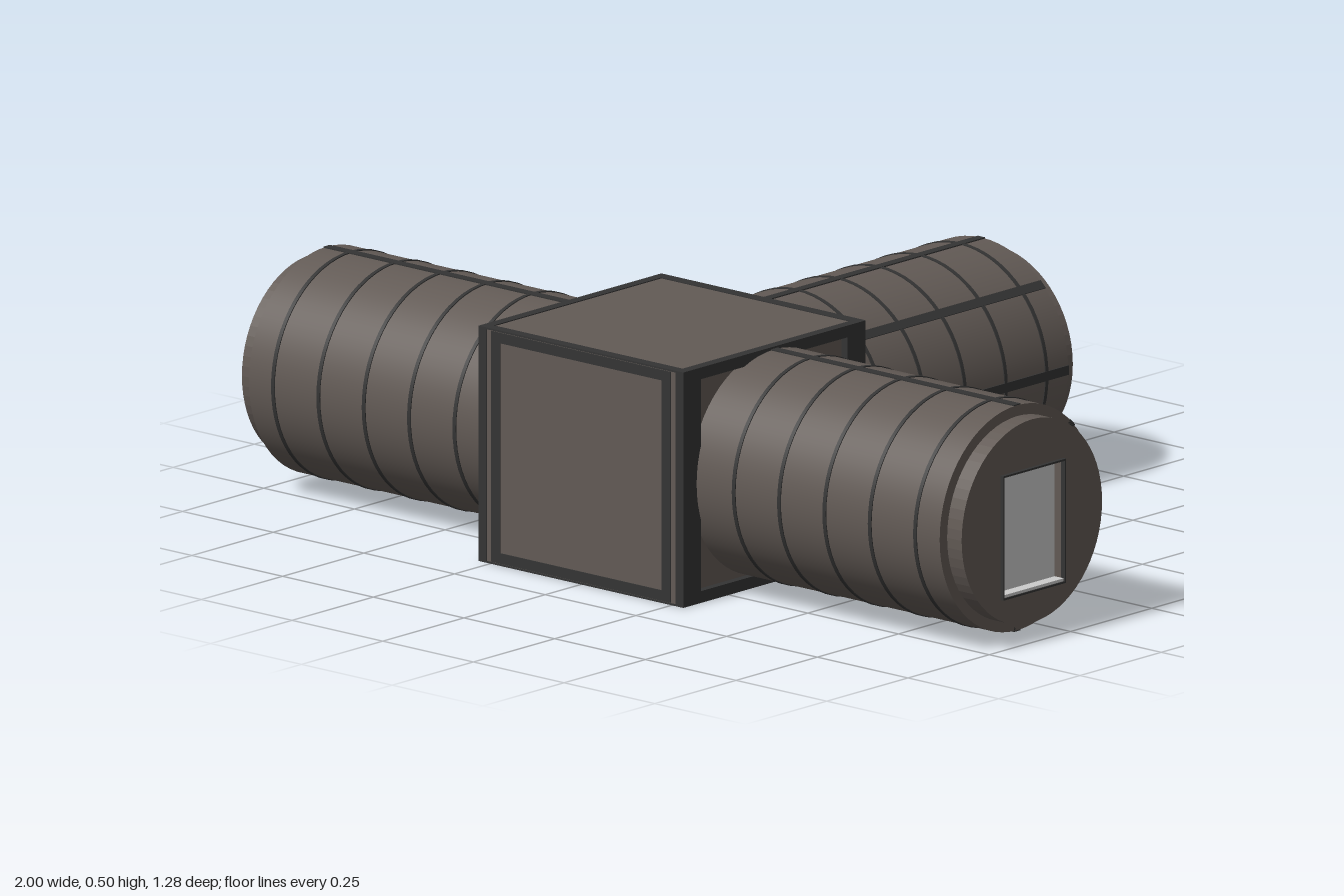
import * as THREE from 'three';

const hull = new THREE.MeshStandardMaterial({ color: 0x625a55 });
const dark = new THREE.MeshStandardMaterial({ color: 0x343434 });
const grey = new THREE.MeshStandardMaterial({ color: 0xcccccc });

function add(parent, name, geometry, material, x = 0, y = 0, z = 0) {
  const mesh = new THREE.Mesh(geometry, material);
  mesh.name = name;
  mesh.position.set(x, y, z);
  parent.add(mesh);
  return mesh;
}

function rectangle(w, h, Kind = THREE.Shape) {
  const r = new Kind();
  r.moveTo(-w / 2, -h / 2);
  r.lineTo(w / 2, -h / 2);
  r.lineTo(w / 2, h / 2);
  r.lineTo(-w / 2, h / 2);
  r.closePath();
  return r;
}

// Flat plate facing +z, with a rectangular opening
function openPlate(outline, holeW, holeH, depth) {
  outline.holes.push(rectangle(holeW, holeH, THREE.Path));
  return new THREE.ExtrudeGeometry(outline, { depth, bevelEnabled: false, curveSegments: 32 });
}

// Cylindrical module running outwards along local +z
function createArm(name, ribSide) {
  const arm = new THREE.Group();
  arm.name = name;
  const R = 0.239, START = 0.26, END = 0.952;

  const tube = new THREE.CylinderGeometry(R, R, END - START, 64).rotateX(Math.PI / 2);
  add(arm, 'tube', tube, hull, 0, 0, (START + END) / 2);

  // Seam bands around the tube
  const band = new THREE.CylinderGeometry(R + 0.002, R + 0.002, 0.009, 64).rotateX(Math.PI / 2);
  for (let i = 0; i < 5; i++) add(arm, 'seamBand', band, dark, 0, 0, 0.385 + i * 0.125);

  // Lengthwise ribs on one half of the tube
  const rib = new THREE.BoxGeometry(0.02, 0.01, END - START);
  for (let i = 0; i < 5; i++) {
    const a = i * Math.PI / 4;
    const r = R - 0.003;
    const mesh = add(arm, 'rib', rib, dark, ribSide * r * Math.sin(a), r * Math.cos(a), (START + END) / 2);
    mesh.rotation.z = -ribSide * a;
  }

  // Stepped end cap with a recessed hatch
  const disc = new THREE.Shape().absarc(0, 0, 0.216, 0, Math.PI * 2);
  add(arm, 'endCap', openPlate(disc, 0.185, 0.256, 0.042), hull, 0, 0, 0.95);
  const hatchY = -0.017;
  arm.getObjectByName('endCap').geometry.dispose();
  const capShape = new THREE.Shape().absarc(0, -hatchY, 0.216, 0, Math.PI * 2);
  const cap = arm.getObjectByName('endCap');
  cap.geometry = openPlate(capShape, 0.185, 0.256, 0.042);
  cap.position.y = hatchY;
  add(arm, 'hatchFrame', openPlate(rectangle(0.193, 0.264), 0.185, 0.256, 0.01), dark, 0, hatchY, 0.99);
  add(arm, 'hatchDoor', new THREE.BoxGeometry(0.185, 0.256, 0.01), grey, 0, hatchY, 0.967);
  add(arm, 'hatchSill', new THREE.BoxGeometry(0.185, 0.006, 0.03), grey, 0, hatchY - 0.125, 0.982);

  arm.position.set(0, 0.255, 0.36);
  return arm;
}

// Box-shaped hub with edge frames on every face
function createHub() {
  const hub = new THREE.Group();
  hub.name = 'hub';
  add(hub, 'hubPanels', new THREE.BoxGeometry(0.532, 0.496, 0.532), hull);

  // Deep frames on the faces that carry arms
  for (const turn of [Math.PI / 2, Math.PI, -Math.PI / 2]) {
    const side = new THREE.Group();
    side.name = 'sideFrame';
    side.rotation.y = turn;
    add(side, 'frame', openPlate(rectangle(0.56, 0.5), 0.45, 0.45, 0.022), dark, 0, 0, 0.26);
    hub.add(side);
  }

  // Front face with an inset dark border
  add(hub, 'frontPanel', new THREE.BoxGeometry(0.56, 0.496, 0.018), hull, 0, 0, 0.27);
  add(hub, 'frontBorder', openPlate(rectangle(0.495, 0.49), 0.445, 0.446, 0.003), dark, 0, 0, 0.278);

  // Thin rims around roof and floor
  for (const s of [1, -1]) {
    const rim = openPlate(rectangle(0.56, 0.56), 0.52, 0.515, 0.004);
    const mesh = add(hub, s > 0 ? 'roofRim' : 'floorRim', rim, dark, 0, s * 0.246, 0);
    mesh.rotation.x = -s * Math.PI / 2;
  }
  hub.position.set(0, 0.25, 0.36);
  return hub;
}

export function createModel() {
  const model = new THREE.Group();
  model.name = 'modularStation';
  model.add(createHub());

  const arms = [
    ['leftArm', Math.PI / 2, 1],
    ['rightArm', -Math.PI / 2, -1],
    ['backArm', Math.PI, -1],
  ];
  for (const [name, turn, ribSide] of arms) {
    const arm = createArm(name, ribSide);
    arm.rotation.y = turn;
    model.add(arm);
  }
  return model;
}
